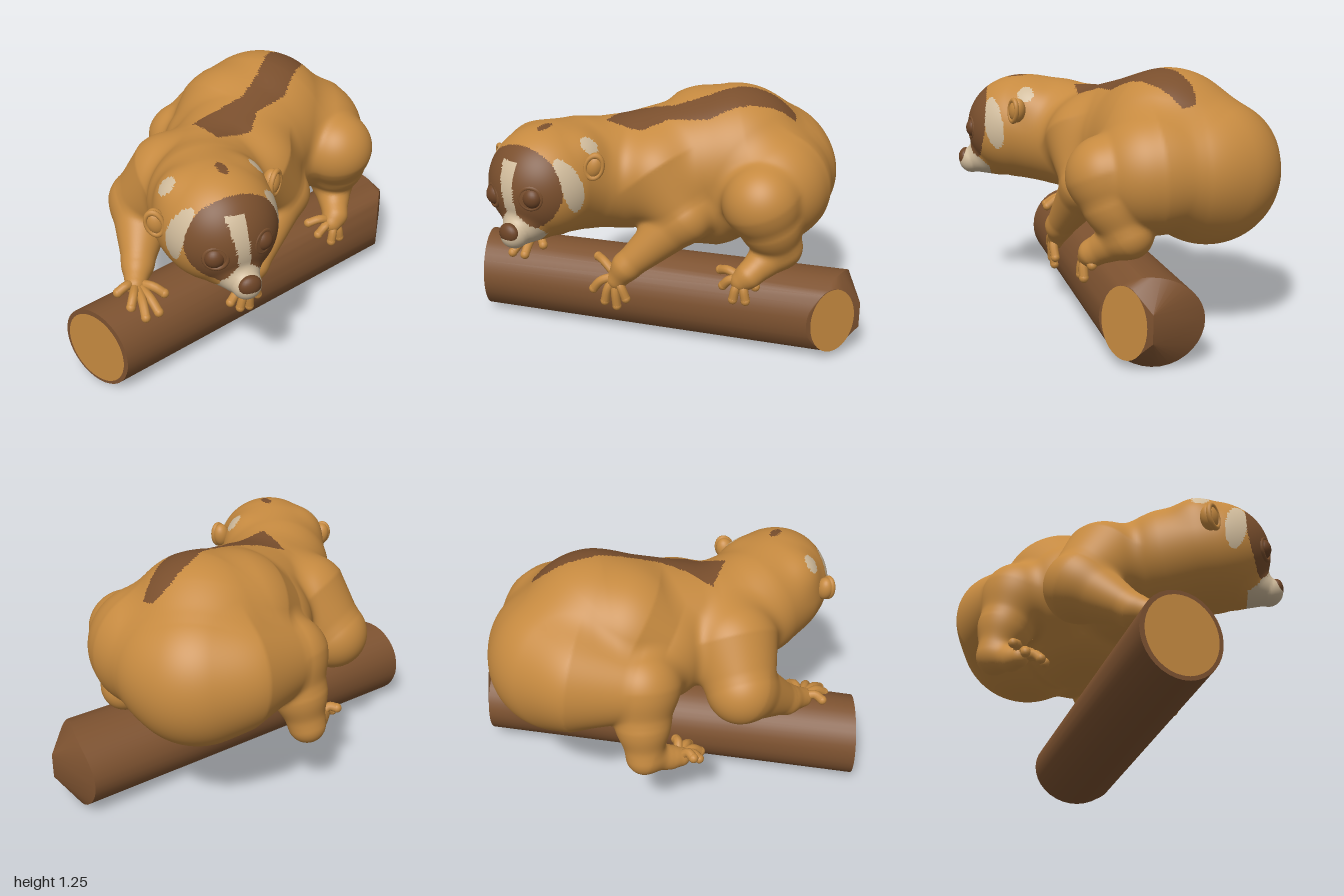
import * as THREE from 'three';
import { toCreasedNormals } from 'three/addons/utils/BufferGeometryUtils.js';
import { ConvexGeometry } from 'three/addons/geometries/ConvexGeometry.js';

const material = (name, color) => new THREE.MeshStandardMaterial({ name, color });
const V = (x, y, z) => new THREE.Vector3(x, y, z);

// A limb or trunk is a chain of tapering round segments through [x, y, z, radius]
const chain = (...pts) => pts.slice(1).map((b, i) => [pts[i], b]);

const PARTS = {
  torso: [
    ...chain([0.32, 0.78, -0.475, 0.355], [0.24, 0.88, -0.29, 0.37], [-0.18, 0.83, 0.08, 0.285], [-0.31, 0.86, 0.3, 0.275], [-0.345, 0.88, 0.45, 0.265]),
    ...chain([0.14, 0.76, -0.2, 0.335], [0.06, 0.75, -0.14, 0.315]),
    ...chain([0.09, 0.9, -0.26, 0.33], [-0.03, 0.82, -0.2, 0.29]),
  ],
  head: [
    ...chain([-0.345, 0.875, 0.45, 0.265], [-0.345, 0.88, 0.52, 0.268]),
    ...chain([-0.46, 0.98, 0.43, 0.145], [-0.23, 0.98, 0.43, 0.145]),
    ...chain([-0.335, 0.735, 0.66, 0.132], [-0.325, 0.695, 0.77, 0.07]),
  ],
  leftArm: chain([0.02, 0.85, 0.09, 0.24], [0.185, 0.67, 0.1, 0.135], [-0.05, 0.4, 0.265, 0.072], [-0.1, 0.32, 0.28, 0.054]),
  rightArm: chain([-0.36, 0.82, -0.02, 0.235], [-0.48, 0.66, -0.13, 0.17], [-0.61, 0.47, 0.12, 0.077], [-0.66, 0.43, 0.22, 0.052]),
  leftLeg: chain([0.44, 0.8, -0.42, 0.27], [0.49, 0.8, -0.22, 0.29], [0.55, 0.79, -0.02, 0.187], [0.58, 0.67, -0.06, 0.15], [0.6, 0.53, -0.12, 0.113], [0.53, 0.42, 0.05, 0.062], [0.5, 0.39, 0.07, 0.052]),
  rightLeg: chain([0.16, 0.8, -0.55, 0.285], [-0.12, 0.78, -0.47, 0.185], [-0.16, 0.6, -0.53, 0.13], [-0.19, 0.44, -0.565, 0.087], [-0.27, 0.39, -0.47, 0.055], [-0.31, 0.38, -0.43, 0.047]),
};
const NAMES = Object.keys(PARTS);

function segmentDistance(x, y, z, [a, b]) {
  const dx = b[0] - a[0], dy = b[1] - a[1], dz = b[2] - a[2];
  const px = x - a[0], py = y - a[1], pz = z - a[2];
  const t = Math.min(1, Math.max(0, (px * dx + py * dy + pz * dz) / (dx * dx + dy * dy + dz * dz)));
  return Math.sqrt((px - t * dx) ** 2 + (py - t * dy) ** 2 + (pz - t * dz) ** 2) - (a[3] + t * (b[3] - a[3]));
}

function blend(a, b, k) {
  const h = Math.max(k - Math.abs(a - b), 0) / k;
  return Math.min(a, b) - h * h * k / 4;
}

const partDistance = (name, x, y, z) =>
  PARTS[name].reduce((d, s) => blend(d, segmentDistance(x, y, z, s), 0.025), 9);
const field = (x, y, z) => NAMES.reduce((d, n) => blend(d, partDistance(n, x, y, z), 0.05), 9);

function gradient(x, y, z) {
  const e = 0.012;
  return V(field(x + e, y, z) - field(x - e, y, z), field(x, y + e, z) - field(x, y - e, z),
    field(x, y, z + e) - field(x, y, z - e)).divideScalar(2 * e);
}

// Dark back stripe outline, as x, z
const STRIPE = [[-0.25, -0.01], [-0.1, -0.02], [0.03, -0.05], [0.165, -0.16], [0.3, -0.32], [0.43, -0.41], [0.51, -0.42],
  [0.54, -0.36], [0.46, -0.25], [0.38, -0.16], [0.245, -0.02], [0.06, 0.055], [-0.02, 0.16], [-0.21, 0.2]];

function insidePolygon(poly, x, y) {
  let inside = false;
  poly.forEach(([ax, ay], i) => {
    const [bx, by] = poly[(i + 1) % poly.length];
    if ((ay > y) !== (by > y) && x < ax + (bx - ax) * (y - ay) / (by - ay)) inside = !inside;
  });
  return inside;
}

const inOval = (u, v, cu, cv, ru, rv) => ((u - cu) / ru) ** 2 + ((v - cv) / rv) ** 2 < 1;

// Fur markings by position
function marking(x, y, z) {
  if (y > 1 && z < 0.25) return insidePolygon(STRIPE, x, z) ? 'dark' : 'fur';
  if (z < 0.38) return 'fur';
  const side = Math.abs(x + 0.345);
  if (z > 0.6) {
    const width = y > 0.8 ? 0.03 + 0.09 * Math.max(0, y - 0.86) : 0.03 + 0.9 * (0.8 - y);
    const mid = -0.325 - 0.12 * Math.max(0, y - 0.72);
    if (y < 1.04 && Math.abs(x - mid) < Math.min(0.105, width) && (y > 0.74 || z > 0.66)) return 'pale';
    if (inOval(x, y, -0.345, 0.9, 0.228, 0.2) && z > 0.66) return 'dark';
  }
  if (side > 0.1 && inOval(z - 0.15 * (y - 0.92), y, 0.61, 0.925, 0.052, 0.13)) return 'pale';
  if (side > 0.1 && inOval(z, y, 0.445, 1.075, 0.042, 0.036)) return 'pale';
  if (y > 1.1 && inOval(x, z, -0.33, 0.52, 0.022, 0.05)) return 'dark';
  return 'fur';
}

// Skin the blended body on a grid, then split it into named, single-colour meshes
function buildSkin(group, mats) {
  const h = 0.013, min = [-0.78, 0.24, -0.92], n = [128, 84, 142];
  const step = [1, n[0], n[0] * n[1]];
  const value = new Float32Array(n[0] * n[1] * n[2]);
  let i = 0;
  for (let c = 0; c < n[2]; c++) for (let b = 0; b < n[1]; b++) for (let a = 0; a < n[0]; a++)
    value[i++] = field(min[0] + a * h, min[1] + b * h, min[2] + c * h);

  const cache = new Map();
  const vertex = (cell) => {
    if (!cache.has(cell)) {
      const at = [cell % n[0], Math.floor(cell / n[0]) % n[1], Math.floor(cell / step[2])];
      const p = V(...at.map((q, j) => min[j] + (q + 0.5) * h));
      for (let k = 0; k < 2; k++) {
        const g = gradient(p.x, p.y, p.z);
        p.addScaledVector(g, -field(p.x, p.y, p.z) / Math.max(0.3, g.lengthSq()));
      }
      cache.set(cell, { p, normal: gradient(p.x, p.y, p.z).normalize() });
    }
    return cache.get(cell);
  };

  const buckets = {};
  const addTriangle = (tri) => {
    const m = tri.reduce((s, v) => s.add(v.p), V(0, 0, 0)).divideScalar(3);
    const dist = NAMES.map((name) => partDistance(name, m.x, m.y, m.z));
    const part = NAMES[dist.indexOf(Math.min(...dist))];
    const colour = part === 'torso' || part === 'head' || m.y > 1 ? marking(m.x, m.y, m.z) : 'fur';
    const bucket = (buckets[part + ' ' + colour] ??= { pos: [], nor: [] });
    tri.forEach((v) => { bucket.pos.push(...v.p); bucket.nor.push(...v.normal); });
  };
  for (let c = 1; c < n[2] - 1; c++) for (let b = 1; b < n[1] - 1; b++) for (let a = 1; a < n[0] - 1; a++) {
    const at = a + b * step[1] + c * step[2];
    for (let axis = 0; axis < 3; axis++) {
      const inside = value[at] < 0;
      if (inside === value[at + step[axis]] < 0) continue;
      const u = step[(axis + 1) % 3], v = step[(axis + 2) % 3];
      const q = [at, at - u, at - u - v, at - v].map(vertex);
      if (!inside) q.reverse();
      addTriangle([q[0], q[1], q[2]]);
      addTriangle([q[0], q[2], q[3]]);
    }
  }
  for (const [key, { pos, nor }] of Object.entries(buckets)) {
    const [part, colour] = key.split(' ');
    const geo = new THREE.BufferGeometry();
    geo.setAttribute('position', new THREE.Float32BufferAttribute(pos, 3));
    geo.setAttribute('normal', new THREE.Float32BufferAttribute(nor, 3));
    const mesh = new THREE.Mesh(geo, mats[colour]);
    mesh.name = colour === 'fur' ? part : `${part}${colour === 'dark' ? 'Dark' : 'Pale'}Marking`;
    group.add(mesh);
  }
}

export function createModel() {
  const model = new THREE.Group();
  model.name = 'animalOnLog';
  const mats = {
    fur: material('golden fur', 0xc68a40),
    dark: material('dark brown fur', 0x7a4f2d),
    pale: material('pale fur', 0xd0bb9b),
    eye: material('eye and nose brown', 0x6d4426),
    bark: material('bark', 0x7d5230),
    wood: material('cut wood', 0xc68a40),
  };
  const add = (name, geo, mat, pos, scale = [1, 1, 1], parent = model) => {
    const mesh = new THREE.Mesh(geo, mat);
    mesh.name = name;
    mesh.position.set(...pos);
    mesh.scale.set(...scale);
    parent.add(mesh);
    return mesh;
  };

  // Log: one square-cut end, one end chopped to a wedge
  const logPoints = [V(0.999, 0.15, -0.245), V(0.999, 0.28, -0.245)];
  for (let i = 0; i < 36; i++) {
    const c = Math.cos(i * Math.PI / 18), s = Math.sin(i * Math.PI / 18);
    logPoints.push(V(-0.905 + 0.093 * c, 0.208 + 0.205 * s, 0.33 + 0.177 * c));
    logPoints.push(V(0.83 + 0.06 * s * s, 0.21 + 0.205 * s, -0.235 + 0.235 * c));
    logPoints.push(V(0.909 - 0.0655 * c, 0.212 + 0.168 * s, -0.12 + 0.1 * c));
  }
  add('log', toCreasedNormals(new ConvexGeometry(logPoints), 0.5), mats.bark, [0, 0, 0]);
  const disc = new THREE.CircleGeometry(1, 36);
  add('logLeftCut', disc, mats.wood, [-0.909, 0.206, 0.332], [0.178, 0.185, 1]).rotation.y = Math.atan2(-0.884, 0.467);
  add('logRightCut', disc, mats.wood, [0.915, 0.212, -0.116], [0.123, 0.17, 1]).rotation.y = Math.atan2(0.837, 0.546);

  buildSkin(model, mats);

  // Hands and feet: five arched digits from each palm
  const hands = {
    leftHandDigits: [[-0.1, 0.34, 0.285], [[-0.24, 0.4, 0.25], [-0.21, 0.26, 0.335], [-0.15, 0.2, 0.32], [-0.09, 0.18, 0.3], [-0.04, 0.23, 0.29]]],
    rightHandDigits: [[-0.655, 0.43, 0.21], [[-0.76, 0.43, 0.25], [-0.73, 0.4, 0.35], [-0.68, 0.37, 0.415], [-0.61, 0.37, 0.4], [-0.55, 0.41, 0.32]]],
    leftFootDigits: [[0.51, 0.4, 0.06], [[0.37, 0.41, 0.05], [0.41, 0.35, 0.09], [0.48, 0.3, 0.11], [0.54, 0.3, 0.09], [0.57, 0.37, 0.05]]],
    rightFootDigits: [[-0.3, 0.38, -0.44], [[-0.39, 0.42, -0.45], [-0.39, 0.37, -0.39], [-0.36, 0.35, -0.32], [-0.29, 0.36, -0.31], [-0.25, 0.42, -0.37]]],
  };
  const tipBall = new THREE.SphereGeometry(0.024, 12, 8);
  for (const [name, [base, tips]] of Object.entries(hands)) {
    const hand = new THREE.Group();
    hand.name = name;
    model.add(hand);
    for (const tip of tips) {
      const a = V(...base), b = V(...tip);
      const knuckle = a.clone().lerp(b, 0.6).add(V(0, 0.022, 0.012));
      add('digit', new THREE.TubeGeometry(new THREE.CatmullRomCurve3([a, knuckle, b]), 10, 0.023, 10), mats.fur, [0, 0, 0], [1, 1, 1], hand);
      add('fingertip', tipBall, mats.fur, tip, [1, 1, 1], hand);
    }
  }

  // Eyes, nose and ears
  const ball = new THREE.SphereGeometry(1, 24, 16);
  for (const [side, x, y, turn] of [['right', -0.46, 0.855, -0.42], ['left', -0.235, 0.885, 0.42]]) {
    add(side + 'Eye', ball, mats.eye, [x, y, 0.738], [0.05, 0.05, 0.043]);
    add(side + 'Eyelid', new THREE.TorusGeometry(0.052, 0.011, 8, 28), mats.dark, [x, y, 0.75]).rotation.y = turn;
  }
  add('nose', ball, mats.eye, [-0.325, 0.71, 0.808], [0.055, 0.05, 0.035]);
  for (const [side, x, y, tilt] of [['right', -0.64, 0.935, 0.25], ['left', -0.06, 1.0, -0.25]]) {
    const ear = new THREE.Group();
    ear.name = side + 'Ear';
    ear.position.set(x, y, 0.495);
    ear.rotation.set(0, side === 'left' ? 0.6 : -0.6, tilt);
    model.add(ear);
    add('earBack', ball, mats.fur, [0, 0, -0.016], [0.046, 0.064, 0.042], ear);
    add('earRim', new THREE.TorusGeometry(0.04, 0.01, 10, 28), mats.fur, [0, 0, 0.006], [1, 1.4, 1.3], ear);
  }
  return model;
}
